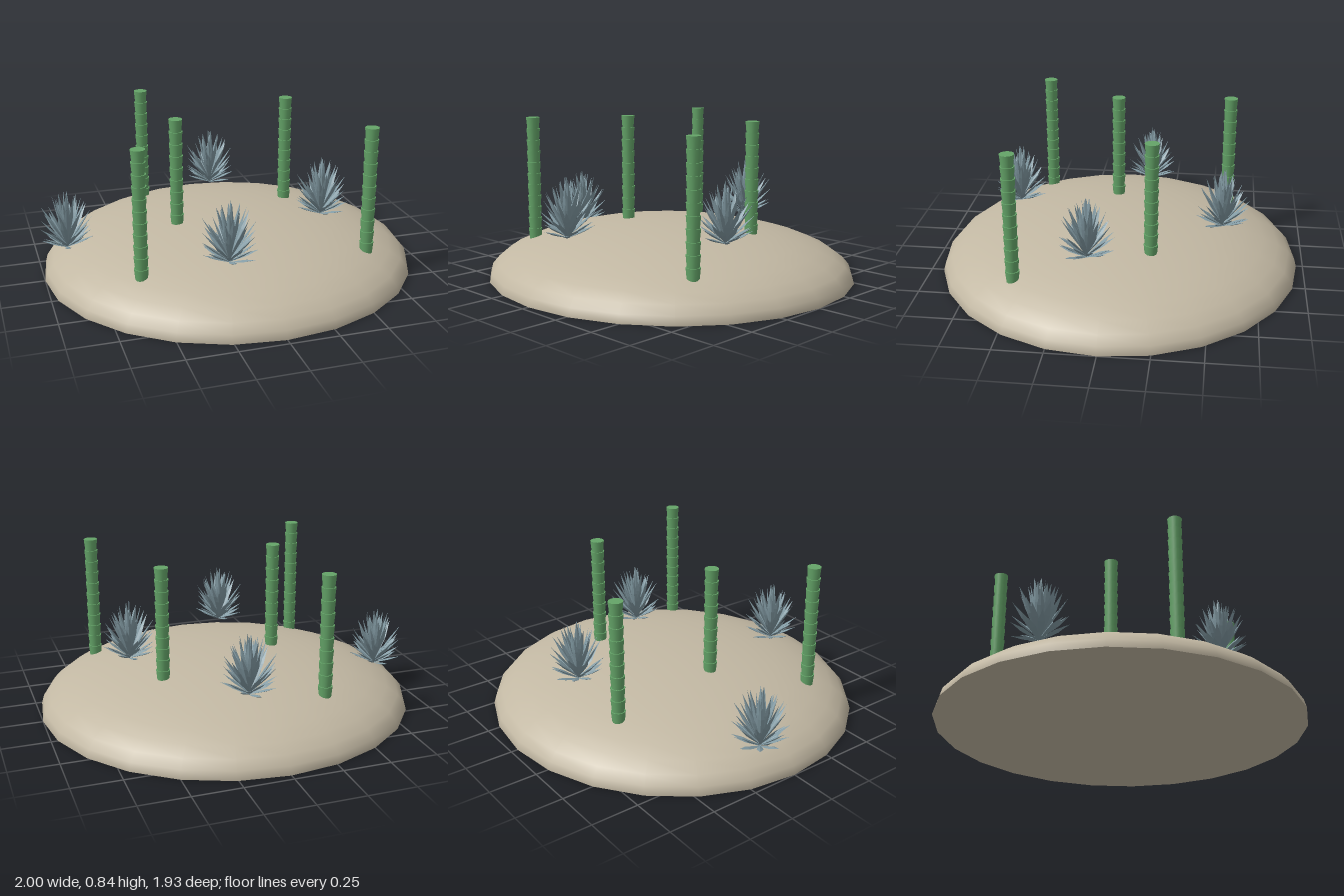
import * as THREE from 'three';
import { mergeGeometries } from 'three/addons/utils/BufferGeometryUtils.js';

const DOME = { x: 1, y: 0.275, z: 0.965 };

const material = (color, flatShading = false) =>
  new THREE.MeshStandardMaterial({ color, flatShading });

// Sandy mound: squashed half sphere closed by a flat underside
function createMound() {
  const mound = new THREE.Group();
  mound.name = 'mound';
  const sand = material(0xc2b8a3);
  const dome = new THREE.Mesh(
    new THREE.SphereGeometry(1, 24, 10, 0, Math.PI * 2, 0, Math.PI / 2), sand);
  dome.name = 'moundTop';
  const base = new THREE.Mesh(new THREE.CircleGeometry(1, 24).rotateX(Math.PI / 2), sand);
  base.name = 'moundUnderside';
  mound.add(dome, base);
  mound.scale.set(DOME.x, DOME.y, DOME.z);
  return mound;
}

// Cane: stacked segments, each flaring slightly towards its upper joint
function createCaneGeometry(height, count) {
  const step = height / count;
  const parts = [];
  for (let i = 0; i < count; i++) {
    parts.push(new THREE.CylinderGeometry(0.037, 0.031, step, 12)
      .translate(0, (i + 0.5) * step, 0));
  }
  return mergeGeometries(parts);
}

// Pointed leaf with a diamond section, growing along +y
function createLeaf(length, width) {
  const profile = [[0.003, 0], [width * 0.42, length * 0.4], [width * 0.5, length * 0.62], [0, length]]
    .map(([r, y]) => new THREE.Vector2(r, y));
  return new THREE.LatheGeometry(profile, 4).scale(1, 1, 0.35);
}

// Rosette: upright leaves in the middle, shorter spreading leaves outside
function createRosetteGeometry() {
  let seed = 7;
  const random = () => (seed = (seed * 16807) % 2147483647) / 2147483647;
  const leaves = [];
  const count = 54;
  for (let i = 0; i < count; i++) {
    const t = i / (count - 1);
    const tilt = 0.06 + 1.2 * Math.pow(t, 1.1) + (random() - 0.5) * 0.16;
    const reach = 0.145 / Math.max(Math.sin(tilt), 0.01);
    const length = Math.min(0.3 - 0.1 * t, reach) * (0.9 + 0.1 * random());
    leaves.push(createLeaf(length, 0.034)
      .rotateY(Math.PI / 2)
      .rotateZ(-tilt)
      .rotateY(i * 2.39996 + random() * 0.3)
      .translate(0, 0.03 * (1 - t), 0));
  }
  return mergeGeometries(leaves);
}

export function createModel() {
  const model = new THREE.Group();
  model.name = 'plantedMound';
  model.add(createMound());

  // Five canes, all cut at the same height
  const caneTop = 0.835;
  const caneMaterial = material(0x64a468);
  const canes = [
    [-0.34, -0.575], [0.4, -0.2], [-0.29, 0.04], [-0.58, 0.47], [0.615, 0.47],
  ];
  canes.forEach(([x, z], i) => {
    const ground = DOME.y * Math.sqrt(1 - (x / DOME.x) ** 2 - (z / DOME.z) ** 2);
    const bottom = ground - 0.015;
    const height = caneTop - bottom;
    const cane = new THREE.Mesh(
      createCaneGeometry(height, Math.round(height / 0.062)), caneMaterial);
    cane.name = `cane${i + 1}`;
    cane.position.set(x, bottom, z);
    model.add(cane);
  });

  // Four spiky rosettes
  const rosetteGeometry = createRosetteGeometry();
  const rosetteMaterial = material(0x829aa3, true);
  const rosettes = [
    [0.06, 0.25, -0.555], [0.5, 0.25, 0.115], [-0.165, 0.25, 0.58], [-0.86, 0.13, -0.105],
  ];
  rosettes.forEach(([x, y, z], i) => {
    const rosette = new THREE.Mesh(rosetteGeometry, rosetteMaterial);
    rosette.name = `rosette${i + 1}`;
    rosette.position.set(x, y, z);
    model.add(rosette);
  });

  return model;
}
